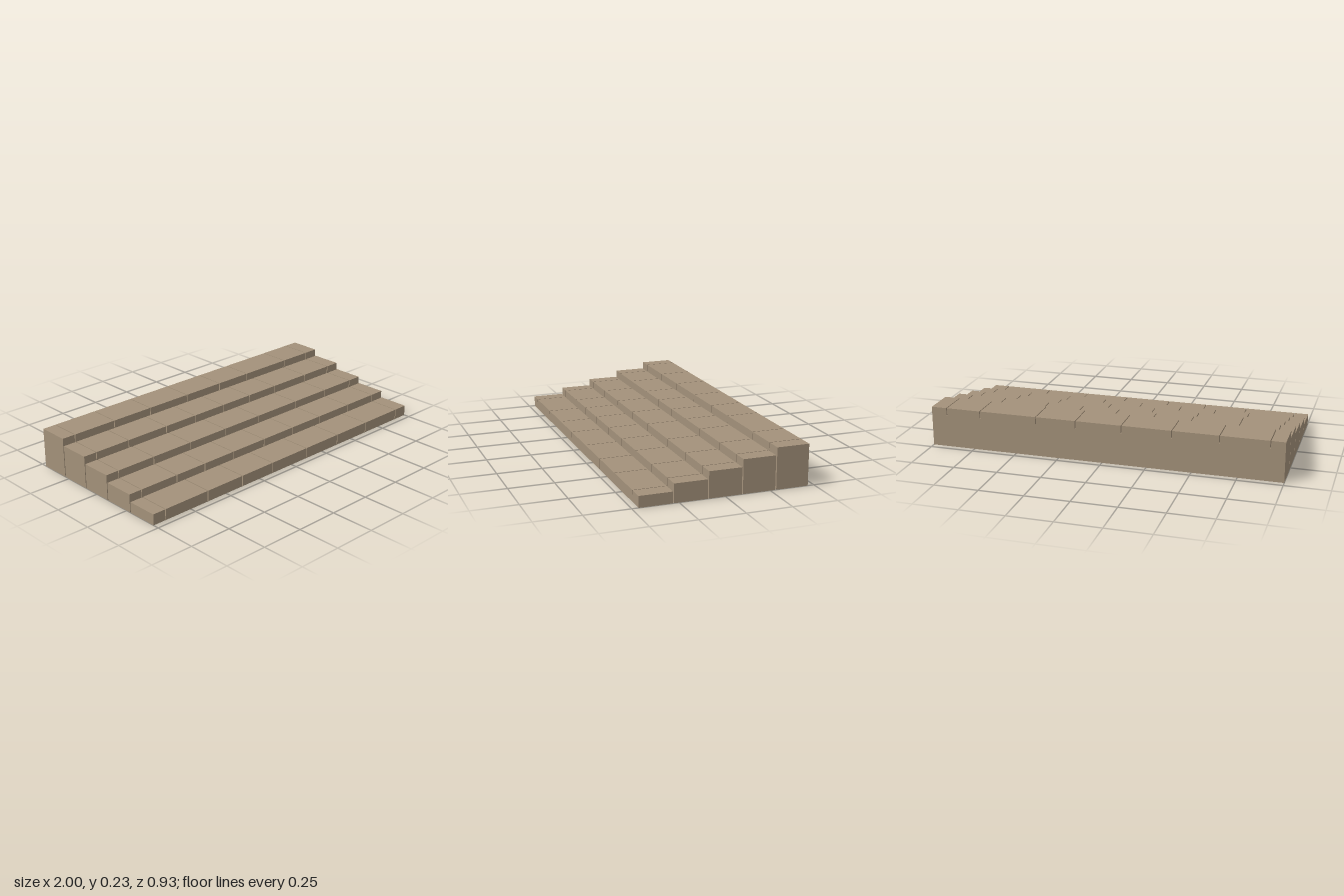
import * as THREE from 'three';

// Joint positions along x for each step, front to back
const JOINTS = [
  [-0.92, -0.63, -0.38, -0.15, 0.12, 0.38, 0.63, 0.91],
  [-0.92, -0.68, -0.48, -0.27, -0.03, 0.2, 0.43, 0.68, 0.91],
  [-0.92, -0.68, -0.42, -0.155, 0.11, 0.42, 0.68, 0.91],
  [-0.92, -0.7, -0.43, -0.215, 0.005, 0.22, 0.43, 0.7, 0.91],
  [-0.92, -0.65, -0.39, -0.11, 0.15, 0.38, 0.71, 0.91],
];
const DEPTH = 0.181, PITCH = 0.187, GAP = 0.005;

export function createModel() {
  const stone = new THREE.MeshStandardMaterial({ color: 0xa3917a });
  stone.name = 'sandstone';
  const model = new THREE.Group();
  model.name = 'stoneSteps';

  // Box given by its x and y limits, centred on its step
  const block = (name, x0, x1, y0, y1) => {
    const mesh = new THREE.Mesh(new THREE.BoxGeometry(x1 - x0, y1 - y0, DEPTH), stone);
    mesh.position.set((x0 + x1) / 2, (y0 + y1) / 2, 0);
    mesh.name = name;
    return mesh;
  };

  JOINTS.forEach((joints, i) => {
    const step = new THREE.Group();
    step.name = `step${i + 1}`;
    step.position.z = (2 - i) * PITCH;
    const top = 0.062 + i * 0.0413;
    const bed = i === 0 ? 0.003 : top - 0.043;

    // Solid base under the treads
    step.add(block('stepBase', -1, 1, 0, bed));

    // Row of tread stones with narrow open joints
    const edges = [-1 - GAP / 2, ...joints, 1 + GAP / 2];
    for (let k = 0; k < edges.length - 1; k++) {
      step.add(block('treadStone', edges[k] + GAP / 2, edges[k + 1] - GAP / 2, bed, top));
    }
    model.add(step);
  });
  return model;
}
